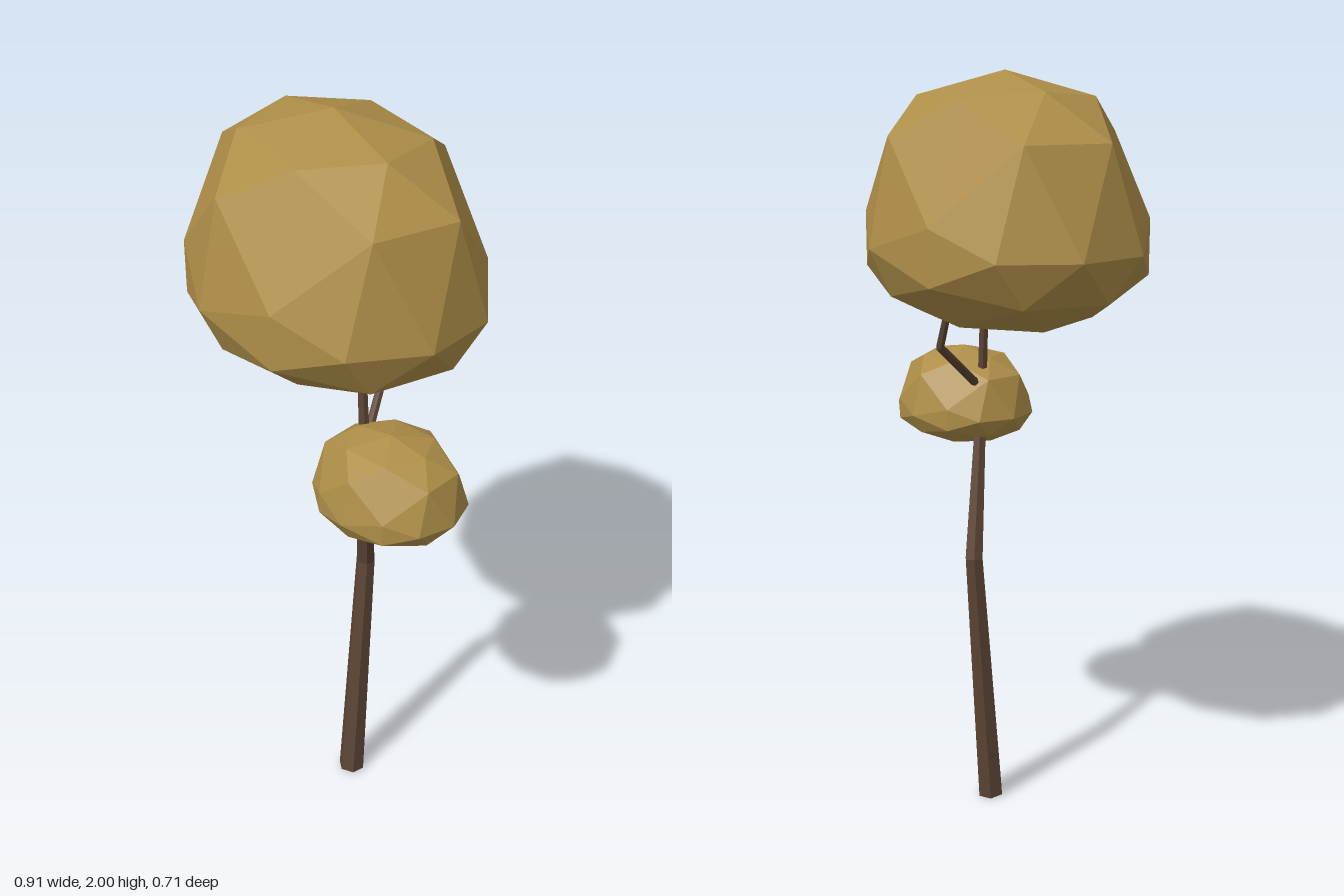
import * as THREE from 'three';

const bark = new THREE.MeshStandardMaterial({ color: 0x5c4535, flatShading: true });
const leaf = new THREE.MeshStandardMaterial({ color: 0xae8e48, flatShading: true });

// Six-sided limb: each ring of a cylinder is moved to a node [x, y, z, radius] and tilted along the path
function limb(name, nodes) {
  const n = nodes.length - 1;
  const points = nodes.map(([x, y, z]) => new THREE.Vector3(x, y, z));
  const up = new THREE.Vector3(0, 1, 0);
  const turns = points.map((p, i) => {
    const ahead = points[Math.min(i + 1, n)].clone().sub(p).normalize();
    const behind = p.clone().sub(points[Math.max(i - 1, 0)]).normalize();
    return new THREE.Quaternion().setFromUnitVectors(up, ahead.add(behind).normalize());
  });
  const geometry = new THREE.CylinderGeometry(1, 1, 1, 6, n);
  const pos = geometry.attributes.position;
  const v = new THREE.Vector3();
  for (let k = 0; k < pos.count; k++) {
    v.fromBufferAttribute(pos, k);
    const i = Math.round((v.y + 0.5) * n);
    v.setY(0).multiplyScalar(nodes[i][3]).applyQuaternion(turns[i]).add(points[i]);
    pos.setXYZ(k, v.x, v.y, v.z);
  }
  geometry.computeVertexNormals();
  const mesh = new THREE.Mesh(geometry, bark);
  mesh.name = name;
  return mesh;
}

// Faceted leaf clump: flattened underside, raised crown
function clump(name, position, [rx, ry, rz], turn) {
  const geometry = new THREE.IcosahedronGeometry(1, 1);
  const pos = geometry.attributes.position;
  for (let k = 0; k < pos.count; k++) {
    const y = pos.getY(k);
    pos.setY(k, y > 0.4 ? 0.24 + 0.76 * y : 0.535 * y);
  }
  geometry.scale(rx, ry, rz);
  geometry.computeVertexNormals();
  const mesh = new THREE.Mesh(geometry, leaf);
  mesh.name = name;
  mesh.position.set(...position);
  mesh.rotation.y = turn;
  return mesh;
}

export function createModel() {
  const tree = new THREE.Group();
  tree.name = 'tree';
  tree.add(
    limb('trunk', [
      [0.08, 0.005, 0.012, 0.037],
      [0.052, 0.73, -0.055, 0.026],
      [0.135, 1.19, 0.022, 0.014],
      [0.11, 1.45, 0.016, 0.012],
    ]),
    limb('branch', [
      [0.134, 1.17, 0.02, 0.012],
      [-0.015, 1.33, -0.19, 0.011],
      [-0.06, 1.43, -0.192, 0.01],
    ]),
    clump('upperCanopy', [-0.015, 1.58, 0], [0.444, 0.42, 0.36], -0.14),
    clump('lowerCanopy', [0.252, 1.098, 0.035], [0.204, 0.172, 0.18], 0.17),
  );
  return tree;
}
